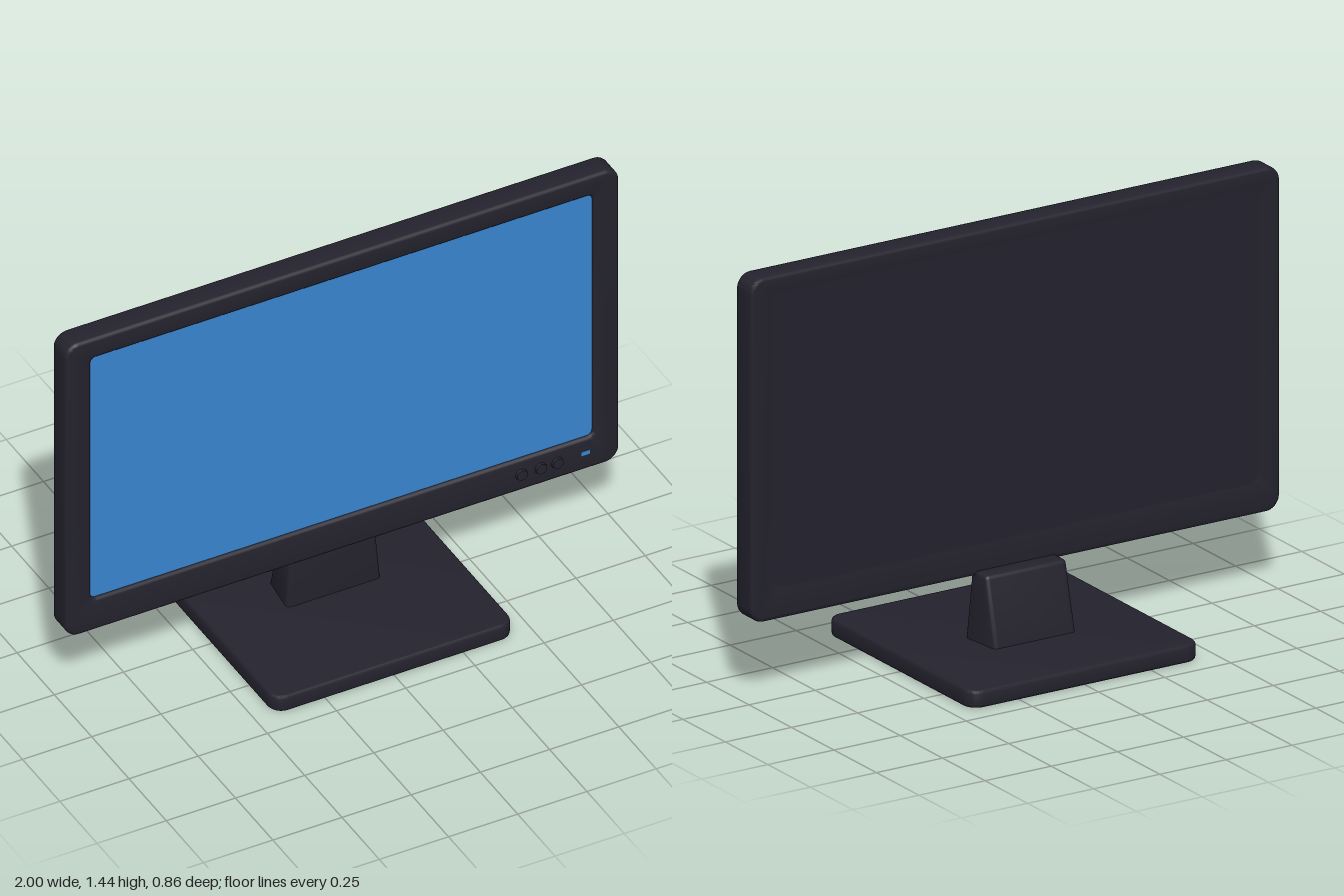
import * as THREE from 'three';
import { toCreasedNormals } from 'three/addons/utils/BufferGeometryUtils.js';

// Rounded rectangle outline, usable as a shape or a hole
function roundedRect(x0, y0, x1, y1, r, Type = THREE.Shape) {
  const s = new Type();
  s.moveTo(x0 + r, y0);
  s.lineTo(x1 - r, y0);
  s.absarc(x1 - r, y0 + r, r, -Math.PI / 2, 0);
  s.lineTo(x1, y1 - r);
  s.absarc(x1 - r, y1 - r, r, 0, Math.PI / 2);
  s.lineTo(x0 + r, y1);
  s.absarc(x0 + r, y1 - r, r, Math.PI / 2, Math.PI);
  s.lineTo(x0, y0 + r);
  s.absarc(x0 + r, y0 + r, r, Math.PI, Math.PI * 1.5);
  return s;
}

// Extrude between two z values with rounded edges that stay inside the outline
function slab(shape, z0, z1, bevel) {
  const g = new THREE.ExtrudeGeometry(shape, {
    depth: z1 - z0 - 2 * bevel, curveSegments: 6,
    bevelEnabled: bevel > 0, bevelThickness: bevel, bevelSize: bevel,
    bevelOffset: -bevel, bevelSegments: 3,
  });
  return g.translate(0, 0, z0 + bevel);
}

export function createModel() {
  const group = new THREE.Group();
  const casing = new THREE.MeshStandardMaterial({ name: 'dark casing', color: 0x24232e });
  const blue = new THREE.MeshStandardMaterial({ name: 'screen blue', color: 0x3a86d2 });

  const add = (name, geometry, material) => {
    const mesh = new THREE.Mesh(geometry, material);
    mesh.name = name;
    group.add(mesh);
    return mesh;
  };
  const smooth = (g) => toCreasedNormals(g, 0.7);

  // Display housing: bevelled frame, closed at the back, with a recessed screen
  const frame = roundedRect(-1, 0.275, 1, 1.44, 0.05);
  frame.holes.push(roundedRect(-0.908, 0.4, 0.906, 1.362, 0.02, THREE.Path));
  add('housing', smooth(slab(frame, -0.013, 0.078, 0.012)), casing);
  add('backPanel', new THREE.BoxGeometry(1.85, 1, 0.073).translate(0, 0.881, 0.0235), casing);
  add('screen', new THREE.BoxGeometry(1.83, 0.98, 0.006).translate(0, 0.881, 0.063), blue);

  // Control buttons and power light on the lower bezel
  for (const x of [0.645, 0.715, 0.775]) {
    const button = new THREE.CylinderGeometry(0.019, 0.022, 0.012, 20);
    add('button', button.rotateX(Math.PI / 2).translate(x, 0.34, 0.08), casing);
  }
  add('powerLight', new THREE.BoxGeometry(0.03, 0.016, 0.004).translate(0.877, 0.343, 0.078), blue);

  // Flat foot
  const foot = slab(roundedRect(-0.435, -0.428, 0.435, 0.428, 0.05), 0.002, 0.062, 0.01);
  add('base', smooth(foot.rotateX(-Math.PI / 2)), casing);

  // Neck: unit column whose vertices are moved to taper upward and toward the back
  const neck = slab(roundedRect(-1, 0, 1, 1, 0.1), 0, 1, 0.05);
  const p = neck.attributes.position;
  for (let i = 0; i < p.count; i++) {
    const u = p.getX(i), back = p.getY(i), h = p.getZ(i);
    const halfWidth = THREE.MathUtils.lerp(0.172, 0.152, h) - 0.018 * back * (1 - h);
    const front = THREE.MathUtils.lerp(0.022, 0.01, h);
    const depth = THREE.MathUtils.lerp(0.154, 0.084, h);
    p.setXYZ(i, u * halfWidth, 0.05 + 0.24 * h, front - depth * back);
  }
  add('neck', smooth(neck), casing);

  return group;
}
